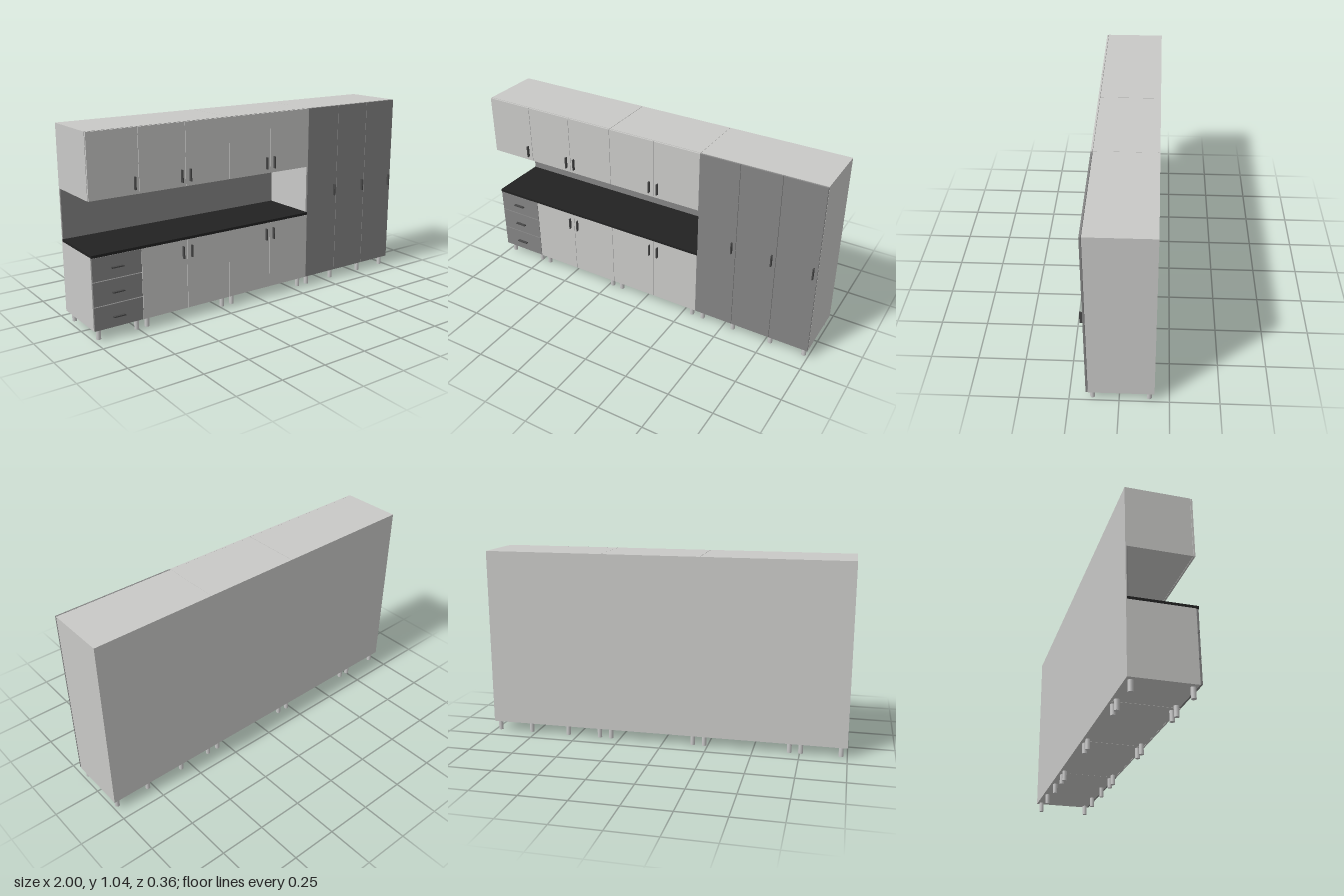
import * as THREE from 'three';

const mat = (name, color) => {
  const m = new THREE.MeshStandardMaterial({ color });
  m.name = name;
  return m;
};

export function createModel() {
  const root = new THREE.Group();
  root.name = 'kitchenCabinets';
  const light = mat('lightGrey', 0xc9c9c7);
  const dark = mat('darkGrey', 0x848484);
  const black = mat('blackWorktop', 0x222222);
  const handleMat = mat('handleGrey', 0x484848);
  const legMat = mat('legGrey', 0xc8c8c8);

  // Box given by its limits on each axis
  const box = (name, material, x0, x1, y0, y1, z0, z1) => {
    const mesh = new THREE.Mesh(new THREE.BoxGeometry(x1 - x0, y1 - y0, z1 - z0), material);
    mesh.position.set((x0 + x1) / 2, (y0 + y1) / 2, (z0 + z1) / 2);
    mesh.name = name;
    root.add(mesh);
  };

  const FLOOR = 0.055, COUNTER = 0.432, UPPER = 0.71, TOP = 1.04;
  const BACK = -0.175, BODY = 0.154, DOOR = 0.156, FRONT = 0.165, GRIP = 0.18;
  const GAP = 0.0012;

  // Cabinet bodies
  for (const [a, b] of [[-1, -0.73], [-0.73, -0.2], [-0.2, 0.338]])
    box('baseCabinet', light, a + (a > -1 ? GAP : 0), b - GAP, FLOOR, COUNTER, BACK + 0.005, BODY);
  for (const [a, b] of [[-1, -0.2], [-0.2, 0.338]])
    box('wallCabinet', light, a + (a > -1 ? GAP : 0), b - GAP, UPPER, TOP, BACK + 0.005, BODY);
  box('tallCabinet', light, 0.338, 1, FLOOR, TOP, BACK + 0.005, BODY);
  box('backPanel', light, -1, 1, FLOOR, TOP, BACK, BACK + 0.005);

  // Splashback and worktop
  box('splashback', dark, -0.998, 0.338, 0.446, UPPER, BACK + 0.005, -0.163);
  box('worktop', black, -1, 0.338, COUNTER, 0.446, BACK + 0.005, 0.168);

  // Fronts
  const front = (name, material, x0, x1, y0, y1) =>
    box(name, material, x0 + GAP, x1 - GAP, y0 + GAP, y1 - GAP, DOOR, FRONT);
  const wallEdges = [-1, -0.73, -0.465, -0.2, 0.07, 0.338];
  for (let i = 0; i < 5; i++) {
    front('wallDoor', light, wallEdges[i], wallEdges[i + 1], UPPER, TOP);
    if (i > 0) front('baseDoor', light, wallEdges[i], wallEdges[i + 1], FLOOR, COUNTER);
  }
  const tallEdges = [0.338, 0.559, 0.78, 1.001];
  for (let i = 0; i < 3; i++)
    front('tallDoor', dark, tallEdges[i], tallEdges[i + 1], FLOOR, TOP);
  const drawerEdges = [FLOOR, 0.18, 0.308, COUNTER];
  for (let i = 0; i < 3; i++)
    front('drawerFront', dark, -1, -0.73, drawerEdges[i] + 0.001, drawerEdges[i + 1] - 0.001);

  // Handles
  const upright = (x, y) => box('doorHandle', handleMat, x - 0.003, x + 0.003, y, y + 0.065, FRONT, GRIP);
  for (const x of [-0.755, -0.49, -0.44, 0.045, 0.095]) {
    upright(x, 0.735);
    if (x > -0.7) upright(x, 0.334);
  }
  for (const x of [0.538, 0.759, 0.98]) upright(x, 0.519);
  for (const y of [0.112, 0.24, 0.368])
    box('drawerHandle', handleMat, -0.9, -0.835, y - 0.003, y + 0.003, FRONT, GRIP);

  // Legs
  const legGeo = new THREE.CylinderGeometry(0.0125, 0.0125, FLOOR, 20);
  for (const x of [-0.967, -0.755, -0.695, -0.23, -0.166, 0.303, 0.37, 0.557, 0.78, 0.973])
    for (const z of [0.133, -0.15]) {
      const leg = new THREE.Mesh(legGeo, legMat);
      leg.name = 'leg';
      leg.position.set(x, FLOOR / 2, z);
      root.add(leg);
    }
  return root;
}
